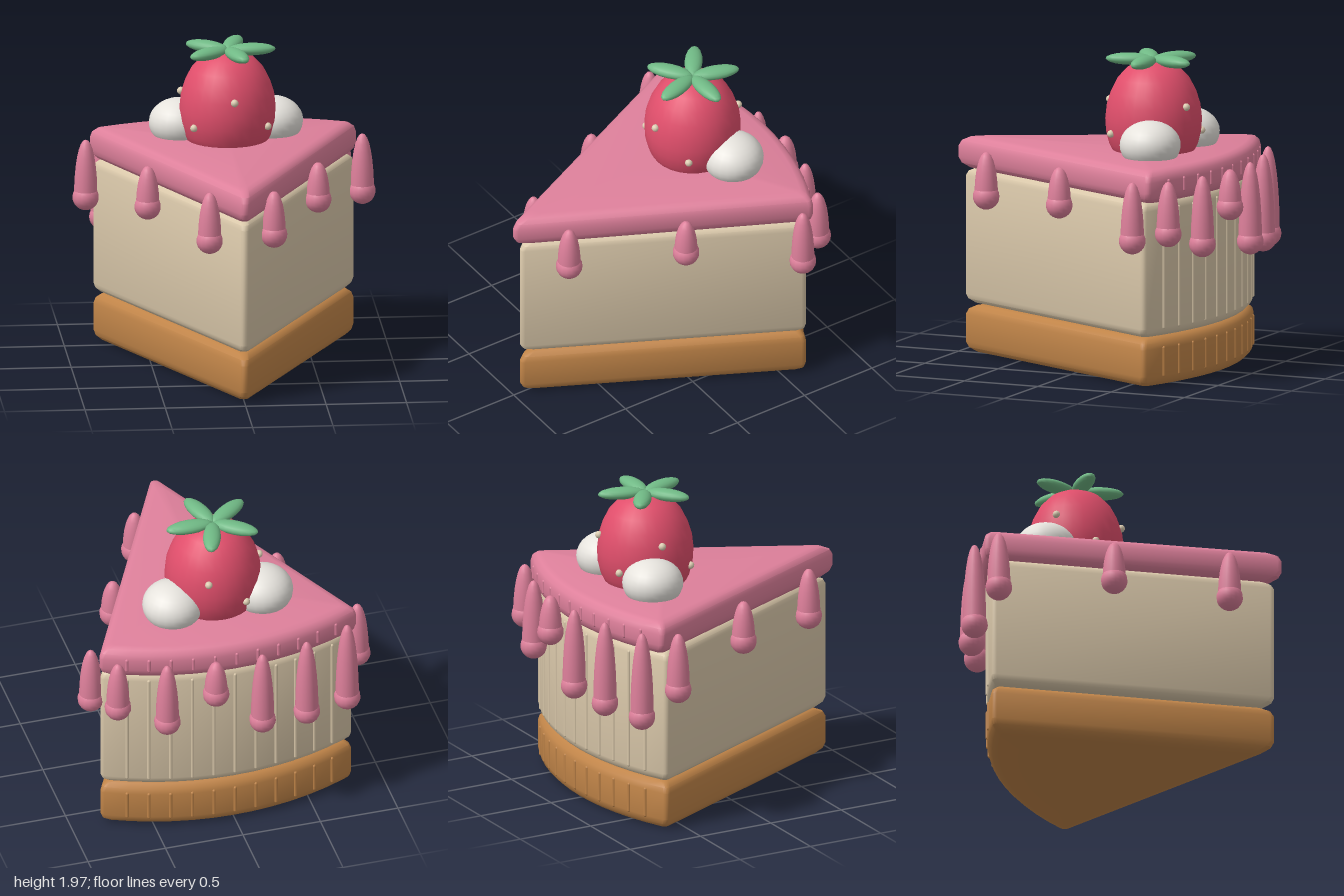
import * as THREE from 'three';
import { toCreasedNormals } from 'three/addons/utils/BufferGeometryUtils.js';

const ARC = 12; // segments of the curved back

// Outline of a slice, shrunk by d, with slightly rounded corners
function sliceOutline(apex, radius, half, d) {
  const r = 0.03, D = d + r, pts = [];
  const theta = half - Math.asin(D / (radius - D));
  const fan = (cx, cz, from, to, n) => {
    for (let i = 0; i <= n; i++) {
      const a = from + (to - from) * i / n;
      pts.push([cx + r * Math.sin(a), cz + r * Math.cos(a)]);
    }
  };
  const side = Math.PI / 2 - half;
  const cx = (radius - D) * Math.sin(theta), cz = apex - (radius - D) * Math.cos(theta);
  fan(0, apex - D / Math.sin(half), -side, side, 4);
  fan(cx, cz, side, Math.PI - theta, 3);
  for (let i = 1; i < ARC; i++) {
    const a = theta * (1 - 2 * i / ARC);
    pts.push([(radius - d) * Math.sin(a), apex - (radius - d) * Math.cos(a)]);
  }
  fan(-cx, cz, theta - Math.PI, -side, 3);
  return pts;
}

// Slice-shaped layer with rounded top and bottom edges
function layerGeometry(apex, radius, half, y0, y1, b) {
  const rings = [];
  for (let i = 0; i <= 3; i++) {
    const t = i / 3 * Math.PI / 2;
    rings.push([b * (1 - Math.sin(t)), y0 + b * (1 - Math.cos(t))]);
  }
  for (let i = 3; i >= 0; i--) rings.push([rings[i][0], y0 + y1 - rings[i][1]]);
  const pos = [], index = [];
  let n = 0;
  for (const [d, y] of rings) {
    const o = sliceOutline(apex, radius, half, d);
    n = o.length;
    for (const [x, z] of o) pos.push(x, y, z);
  }
  const last = (rings.length - 1) * n, bottom = rings.length * n, top = bottom + 1;
  pos.push(0, y0, -0.2, 0, y1, -0.2);
  for (let i = 0; i < n; i++) {
    const j = (i + 1) % n;
    for (let k = 0; k < last; k += n) {
      index.push(k + i, k + j, k + n + j, k + i, k + n + j, k + n + i);
    }
    index.push(bottom, j, i, top, last + i, last + j);
  }
  const g = new THREE.BufferGeometry();
  g.setAttribute('position', new THREE.Float32BufferAttribute(pos, 3));
  g.setIndex(index);
  return toCreasedNormals(g, 0.6);
}

export function createModel() {
  const root = new THREE.Group();
  const mat = (name, color) => {
    const m = new THREE.MeshStandardMaterial({ color });
    m.name = name;
    return m;
  };
  const pink = mat('pink frosting', 0xde809b);
  const sponge = mat('cream sponge', 0xdac8aa);
  const crust = mat('brown crust', 0xc08448);
  const red = mat('berry red', 0xe04e6b);
  const green = mat('leaf green', 0x70b985);
  const white = mat('whipped cream', 0xe6e3dd);
  const tan = mat('seed tan', 0xdccdb2);

  const add = (parent, name, geometry, material, x = 0, y = 0, z = 0) => {
    const m = new THREE.Mesh(geometry, material);
    m.name = name;
    m.position.set(x, y, z);
    parent.add(m);
    return m;
  };

  // Layers, each with fine ribs up the curved back
  const layer = (name, material, apex, radius, half, y0, y1, b) => {
    const g = new THREE.Group();
    g.name = name;
    root.add(g);
    add(g, name + 'Body', layerGeometry(apex, radius, half, y0, y1, b), material);
    const rib = new THREE.CapsuleGeometry(0.012, y1 - y0 - 2 * b, 3, 8);
    const theta = half - 0.02;
    for (let i = 1; i < ARC; i++) {
      const a = theta * (1 - 2 * i / ARC);
      add(g, name + 'Rib', rib, material, (radius - 0.004) * Math.sin(a), (y0 + y1) / 2, apex - (radius - 0.004) * Math.cos(a));
    }
  };
  layer('crust', crust, 0.985, 1.815, 0.468, 0, 0.31, 0.07);
  layer('sponge', sponge, 0.985, 1.815, 0.468, 0.31, 1.17, 0.06);
  layer('frosting', pink, 1.036, 1.905, 0.455, 1.155, 1.365, 0.07);

  // Frosting drips: x, z, lowest point
  const drips = [
    [0.2, 0.72, 0.94], [-0.2, 0.72, 0.91], [0.53, 0.07, 0.98], [-0.53, 0.07, 0.96],
    [0.86, -0.58, 0.85], [-0.86, -0.58, 0.85], [0.74, -0.77, 0.89], [0.45, -0.87, 0.79],
    [0.15, -0.92, 0.98], [-0.15, -0.92, 0.72], [-0.45, -0.87, 0.69], [-0.74, -0.77, 0.67],
  ];
  const ball = new THREE.SphereGeometry(0.083, 16, 12);
  for (const [x, z, low] of drips) {
    const g = new THREE.Group();
    g.name = 'drip';
    g.position.set(x, low + 0.083, z);
    root.add(g);
    const height = 1.3 - low - 0.083, profile = [];
    for (let i = 0; i <= 8; i++) {
      const t = i / 8 * Math.PI / 2;
      profile.push(new THREE.Vector2(0.073 * Math.cos(t) ** 0.9, height * Math.sin(t)));
    }
    profile[8].x = 0;
    add(g, 'dripBody', new THREE.LatheGeometry(profile, 16), pink);
    add(g, 'dripBall', ball, pink);
  }

  // Whipped cream mounds
  for (const s of [-1, 1]) {
    add(root, 'creamMound', new THREE.SphereGeometry(0.19, 24, 16), white, s * 0.29, 1.44, -0.44)
      .scale.set(1, 0.8, 1);
  }

  // Strawberry with seeds and leaves
  const berry = new THREE.Group();
  berry.name = 'strawberry';
  berry.position.z = -0.33;
  root.add(berry);
  const berryProfile = [
    [0, 1.26], [0.15, 1.28], [0.235, 1.32], [0.275, 1.4], [0.295, 1.48], [0.3, 1.56], [0.29, 1.65],
    [0.265, 1.73], [0.225, 1.81], [0.165, 1.875], [0.09, 1.915], [0, 1.93],
  ].map(([x, y]) => new THREE.Vector2(x, y));
  add(berry, 'berryBody', new THREE.LatheGeometry(berryProfile, 28), red);
  const seeds = [[4, 1.66], [-98, 1.66], [159, 1.66], [-49, 1.48], [52, 1.48], [-152, 1.48]];
  for (const [deg, y] of seeds) {
    const a = THREE.MathUtils.degToRad(deg), r = y > 1.6 ? 0.29 : 0.298;
    add(berry, 'seed', new THREE.SphereGeometry(0.024, 10, 8), tan, r * Math.sin(a), y, r * Math.cos(a));
  }
  for (let i = 0; i < 5; i++) {
    const a = i * Math.PI * 2 / 5;
    const leaf = add(berry, 'leaf', new THREE.SphereGeometry(1, 16, 10), green, 0.15 * Math.cos(a), 1.928, -0.15 * Math.sin(a));
    leaf.scale.set(0.15, 0.038, 0.056);
    leaf.rotation.y = a;
  }
  return root;
}
